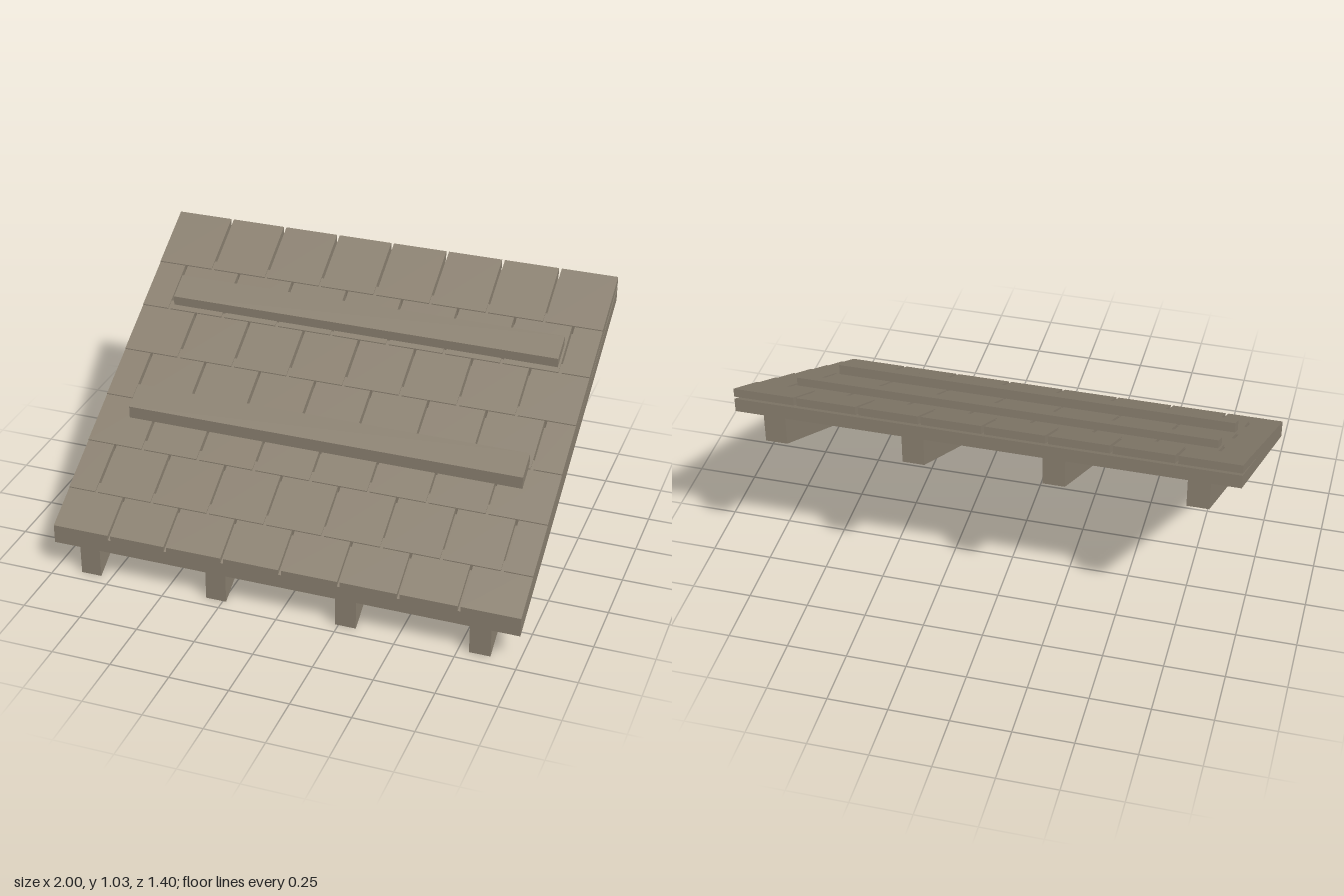
import * as THREE from 'three';

const SLOPE = 0.8 / 1.4;

export function createModel() {
  const roof = new THREE.Group();
  roof.name = 'roofPanel';
  const wood = new THREE.MeshStandardMaterial({ color: 0x8a8070 });
  wood.name = 'weatheredWood';

  // Box sheared along the roof pitch, so its ends stay vertical.
  // y0 and y1 are heights above the underside plane of the rafters.
  function slab(name, x0, x1, y0, y1, z0, z1, parent = roof) {
    const g = new THREE.BoxGeometry(x1 - x0, y1 - y0, z1 - z0);
    g.translate((x0 + x1) / 2, (y0 + y1) / 2, (z0 + z1) / 2);
    const p = g.attributes.position;
    for (let i = 0; i < p.count; i++) {
      p.setY(i, p.getY(i) + (0.7 - p.getZ(i)) * SLOPE);
    }
    g.computeVertexNormals();
    const mesh = new THREE.Mesh(g, wood);
    mesh.name = name;
    parent.add(mesh);
  }

  // Rafters under the deck
  for (const x of [-0.84, -0.28, 0.28, 0.84]) {
    slab('rafter', x - 0.044, x + 0.044, 0, 0.125, -0.7, 0.7);
  }

  // Deck boards
  slab('deck', -1, 1, 0.124, 0.184, -0.7, 0.7);

  // Overlapping shingle courses, every other one shifted by half a shingle
  const GAP = 0.012;
  for (let row = 0; row < 7; row++) {
    const course = new THREE.Group();
    course.name = 'shingleCourse' + (row + 1);
    roof.add(course);
    const front = Math.min(0.7, 0.74 - row * 0.2);
    const back = 0.5 - row * 0.2;
    const lift = row * 0.0044;
    const shift = row % 2 ? -0.125 : 0;
    for (let i = 0; i < (row % 2 ? 9 : 8); i++) {
      const a = -1 + shift + i * 0.25;
      const x0 = a <= -1 ? -1 : a + GAP / 2;
      const x1 = a + 0.25 >= 1 ? 1 : a + 0.25 - GAP / 2;
      slab('shingle', x0, x1, 0.168 + lift, 0.206 + lift, back, front, course);
    }
  }

  // Two battens laid across the shingles
  for (const z of [0.17, -0.33]) {
    slab('batten', -0.86, 0.86, 0.207, 0.267, z - 0.05, z + 0.05);
  }

  return roof;
}
